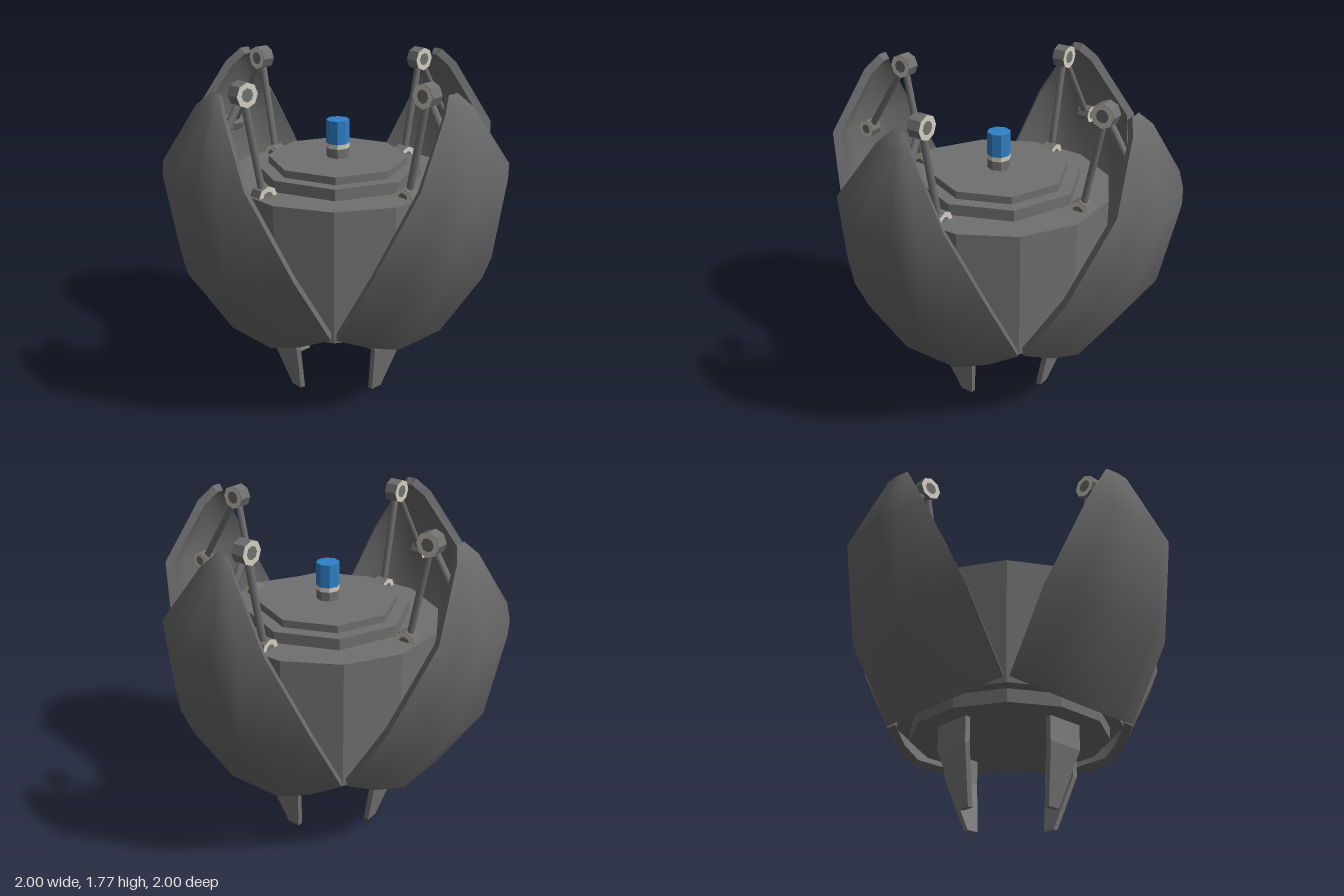
import * as THREE from 'three';

const paint = (name, color) => Object.assign(new THREE.MeshStandardMaterial({ color }), { name });

export function createModel() {
  const shell = paint('shell grey', 0x6a6a6a);
  const hull = paint('hull grey', 0x707070);
  const footGrey = paint('foot grey', 0x7c7c7c);
  const pale = paint('pale metal', 0xd2cec2);
  const blue = paint('beacon blue', 0x2f80c8);

  const model = new THREE.Group();
  model.name = 'petalPod';

  function add(parent, name, geometry, material, x = 0, y = 0, z = 0) {
    const mesh = new THREE.Mesh(geometry, material);
    mesh.name = name;
    mesh.position.set(x, y, z);
    parent.add(mesh);
    return mesh;
  }

  // Upright faceted drum between two heights
  function drum(name, radius, y0, y1, sides, turn, material) {
    const g = new THREE.CylinderGeometry(radius, radius, y1 - y0, sides).toNonIndexed();
    g.computeVertexNormals();
    g.rotateY(turn);
    return add(model, name, g, material, 0, (y0 + y1) / 2);
  }

  // Central body, stepped lid and beacon
  drum('bottomPlate', 0.528, 0.43, 0.5, 12, Math.PI / 12, hull);
  drum('body', 0.6, 0.5, 1.17, 12, Math.PI / 12, hull);
  drum('lowerLid', 0.44, 1.17, 1.23, 8, 0, hull);
  drum('upperLid', 0.37, 1.23, 1.27, 8, 0, hull);
  drum('beaconBase', 0.06, 1.27, 1.32, 8, 0, hull);
  drum('beaconCollar', 0.062, 1.32, 1.345, 8, 0, pale);
  drum('beacon', 0.062, 1.345, 1.47, 8, 0, blue);

  // Petal levels: centre x, centre y, edge x, edge y, half width
  const levels = [
    [0.62, 0.41, 0.47, 0.51, 0.45],
    [0.88, 0.80, 0.71, 0.90, 0.455],
    [1.00, 1.29, 0.88, 1.36, 0.32],
    [0.85, 1.67, 0.82, 1.67, 0.10],
    [0.78, 1.74, 0.775, 1.74, 0.03],
  ];
  // Across each level: share of half width, share of the bend towards the edge
  const across = [[-1, 1], [-0.7, 0.42], [-0.35, 0], [0.35, 0], [0.7, 0.42], [1, 1]];
  const cols = across.length, rows = levels.length;

  function surface(points, index) {
    const g = new THREE.BufferGeometry();
    g.setAttribute('position', new THREE.Float32BufferAttribute(points, 3));
    if (index) g.setIndex(index);
    g.computeVertexNormals();
    return g;
  }

  const outerPoints = [], outerFaces = [], innerFaces = [];
  for (const [cx, cy, ex, ey, w] of levels)
    for (const [u, bend] of across)
      outerPoints.push(cx + (ex - cx) * bend, cy + (ey - cy) * bend, u * w);
  for (let r = 0; r < rows - 1; r++)
    for (let c = 0; c < cols - 1; c++) {
      const a = r * cols + c, b = a + 1, d = a + cols, e = d + 1;
      outerFaces.push(a, d, b, b, d, e);
      innerFaces.push(a, b, d, b, e, d);
    }
  const outer = surface(outerPoints, outerFaces);
  const normals = outer.attributes.normal.array;
  const innerPoints = outerPoints.map((v, i) => v - 0.045 * normals[i]);
  const inner = surface(innerPoints, innerFaces);

  // Rim joining the two skins around the petal outline
  const loop = [];
  for (let r = 0; r < rows - 1; r++) loop.push(r * cols);
  for (let c = 0; c < cols - 1; c++) loop.push((rows - 1) * cols + c);
  for (let r = rows - 1; r > 0; r--) loop.push(r * cols + cols - 1);
  for (let c = cols - 1; c > 0; c--) loop.push(c);
  const rimPoints = [];
  loop.forEach((p, i) => {
    const q = loop[(i + 1) % loop.length];
    const o = k => outerPoints.slice(k * 3, k * 3 + 3);
    const n = k => innerPoints.slice(k * 3, k * 3 + 3);
    rimPoints.push(...o(p), ...n(p), ...o(q), ...o(q), ...n(p), ...n(q));
  });
  const rim = surface(rimPoints);

  // Foot: box whose vertices follow a bent, tapering path
  const foot = new THREE.BoxGeometry(0.03, 1, 1, 1, 2, 1).toNonIndexed();
  const fp = foot.attributes.position;
  for (let i = 0; i < fp.count; i++) {
    const t = Math.round((fp.getY(i) + 0.5) * 2);
    fp.setXYZ(i, fp.getX(i) + [0.298, 0.385, 0.385][t], [0, 0.295, 0.44][t],
      Math.sign(fp.getZ(i)) * [0.035, 0.105, 0.105][t]);
  }
  foot.computeVertexNormals();

  // Hinge: faceted barrel with a pale ring on each end
  function hinge(parent, name, x, y, radius) {
    const g = new THREE.Group();
    g.name = name;
    g.position.set(x, y, 0);
    parent.add(g);
    const barrel = new THREE.CylinderGeometry(radius, radius, 0.07, 8).toNonIndexed();
    barrel.computeVertexNormals();
    add(g, 'hingeBarrel', barrel.rotateX(Math.PI / 2), hull);
    for (const s of [1, -1]) {
      const ring = new THREE.RingGeometry(radius * 0.55, radius, 8);
      if (s < 0) ring.rotateY(Math.PI);
      add(g, 'hingeRing', ring, pale, 0, 0, s * 0.037);
    }
  }

  function rod(parent, name, x0, y0, x1, y1) {
    const g = new THREE.CylinderGeometry(0.019, 0.019, Math.hypot(x1 - x0, y1 - y0), 8);
    const mesh = add(parent, name, g, hull, (x0 + x1) / 2, (y0 + y1) / 2);
    mesh.rotation.z = -Math.atan2(x1 - x0, y1 - y0);
  }

  // Four identical quarters: petal, foot and folding arm
  for (let k = 0; k < 4; k++) {
    const quarter = new THREE.Group();
    quarter.name = 'quarter' + (k + 1);
    quarter.rotation.y = k * Math.PI / 2;
    model.add(quarter);
    add(quarter, 'petalOuter', outer, shell);
    add(quarter, 'petalInner', inner, shell);
    add(quarter, 'petalRim', rim, shell);
    add(quarter, 'foot', foot, footGrey);
    rod(quarter, 'lowerArm', 0.515, 1.17, 0.62, 1.705);
    rod(quarter, 'upperArm', 0.62, 1.705, 0.9, 1.27);
    hinge(quarter, 'bodyHinge', 0.51, 1.165, 0.06);
    hinge(quarter, 'elbowHinge', 0.62, 1.705, 0.063);
    hinge(quarter, 'petalHinge', 0.9, 1.28, 0.05);
  }
  return model;
}
